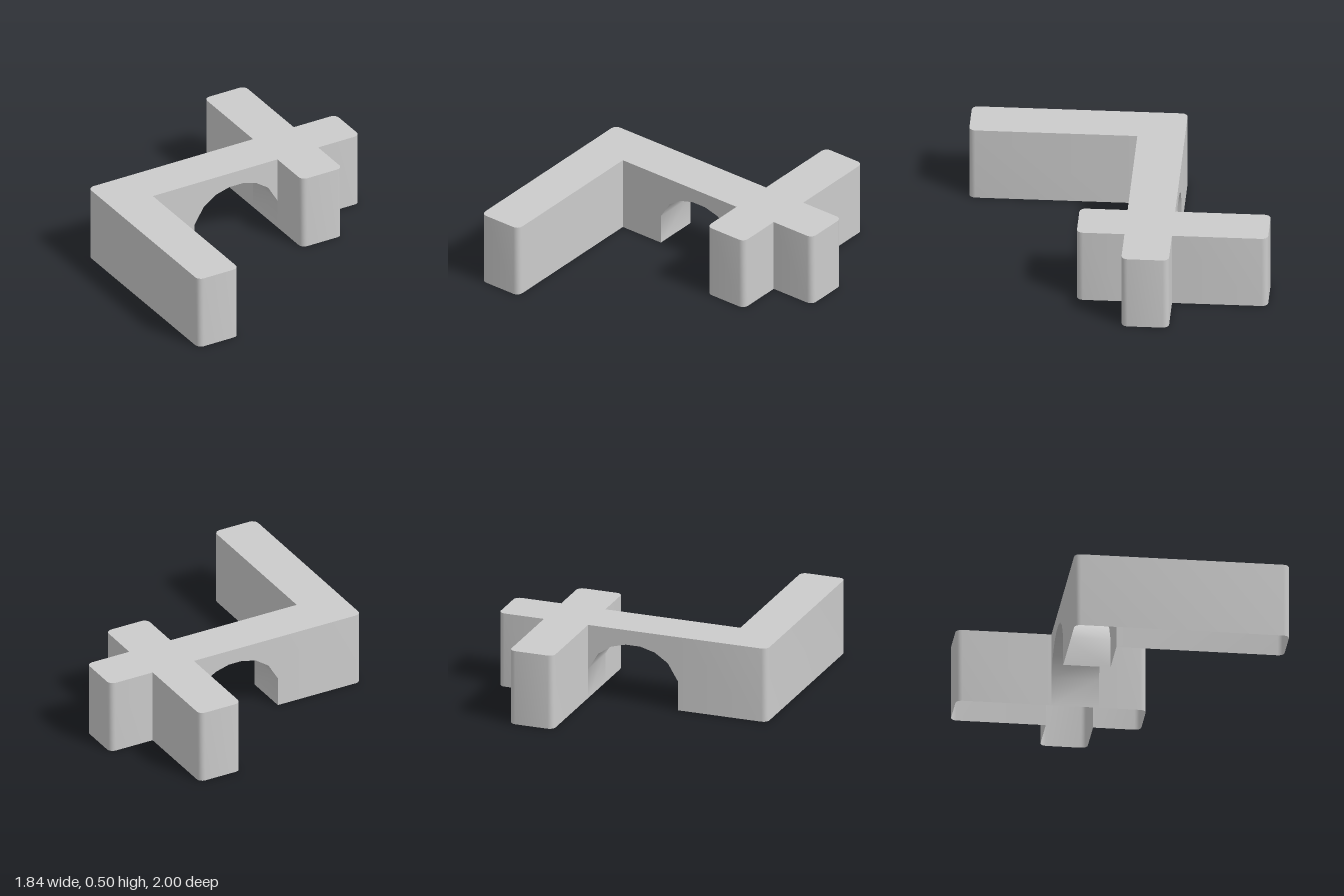
import * as THREE from 'three';
import { toCreasedNormals } from 'three/addons/utils/BufferGeometryUtils.js';

const HEIGHT = 0.5, RADIUS = 0.04, STEPS = 4;
const BACK = -0.385, FRONT = -0.08;      // depth of the bridge
const X0 = -0.31, X1 = 0.307;            // sides of the arch opening

const material = new THREE.MeshStandardMaterial({ color: 0xcccccc, side: THREE.DoubleSide });

function addMesh(group, name, geometry) {
  const mesh = new THREE.Mesh(geometry, material);
  mesh.name = name;
  group.add(mesh);
}

// Rounds the corners marked with a third value of 1; points are [x, z, rounded]
function roundPath(points) {
  const out = [];
  points.forEach(([x, z, rounded], i) => {
    const corner = new THREE.Vector2(x, z);
    if (!rounded) return out.push(corner);
    const toward = ([px, pz]) =>
      new THREE.Vector2(px, pz).sub(corner).setLength(RADIUS).add(corner);
    const a = toward(points[i - 1]), b = toward(points[i + 1]);
    const center = a.clone().add(b).sub(corner);
    for (let s = 0; s <= STEPS; s++) {
      const t = (s / STEPS) * Math.PI / 2;
      out.push(center.clone()
        .addScaledVector(b.clone().sub(corner), -Math.cos(t) + 0)
        .addScaledVector(a.clone().sub(corner), -Math.sin(t)));
    }
  });
  return out;
}

// Strip of quads between two rows of 3D points
function ribbon(rowA, rowB) {
  const pos = [];
  for (let i = 0; i < rowA.length - 1; i++) {
    const a = rowA[i], b = rowA[i + 1], c = rowB[i + 1], d = rowB[i];
    for (const p of [a, d, c, a, c, b]) pos.push(...p);
  }
  const geometry = new THREE.BufferGeometry();
  geometry.setAttribute('position', new THREE.Float32BufferAttribute(pos, 3));
  return toCreasedNormals(geometry, 0.65);
}

const wall = (path) => ribbon(path.map((p) => [p.x, 0, p.y]), path.map((p) => [p.x, HEIGHT, p.y]));

export function createModel() {
  const group = new THREE.Group();
  group.name = 'archWall';

  // Long wall that turns the corner into the bridge
  const left = roundPath([
    [X0, FRONT], [-0.62, FRONT], [-0.62, 1, 1], [-0.922, 1, 1], [-0.922, BACK, 1], [X0, BACK],
  ]);
  // Cross-shaped pier
  const right = roundPath([
    [X1, BACK], [X1, -1, 1], [0.61, -1, 1], [0.61, BACK], [0.922, BACK, 1], [0.922, FRONT, 1],
    [0.61, FRONT], [0.61, 0.227, 1], [X1, 0.227, 1], [X1, FRONT],
  ]);
  addMesh(group, 'cornerWallSides', wall(left));
  addMesh(group, 'crossPierSides', wall(right));

  // Flat top over the whole plan; the underside stays open
  const plan = [...left, ...right].map((p) => new THREE.Vector2(p.x, -p.y));
  const top = new THREE.ShapeGeometry(new THREE.Shape(plan));
  top.rotateX(-Math.PI / 2).translate(0, HEIGHT, 0);
  addMesh(group, 'top', top);

  // Faceted arch with straight jambs
  const arch = [
    [X0, 0], [X0, 0.197], [-0.24, 0.312], [-0.15, 0.373], [-0.05, 0.4],
    [0.05, 0.4], [0.148, 0.373], [0.238, 0.312], [X1, 0.197], [X1, 0],
  ];
  const at = (z) => arch.map(([x, y]) => [x, y, z]);
  addMesh(group, 'archSoffit', ribbon(at(FRONT), at(BACK)));

  // Bridge faces above the arch
  const curve = arch.slice(1, -1);
  const low = (z) => curve.map(([x, y]) => [x, y, z]);
  const high = (z) => curve.map(([x]) => [x, HEIGHT, z]);
  addMesh(group, 'bridgeFront', ribbon(high(FRONT), low(FRONT)));
  addMesh(group, 'bridgeBack', ribbon(low(BACK), high(BACK)));

  return group;
}
